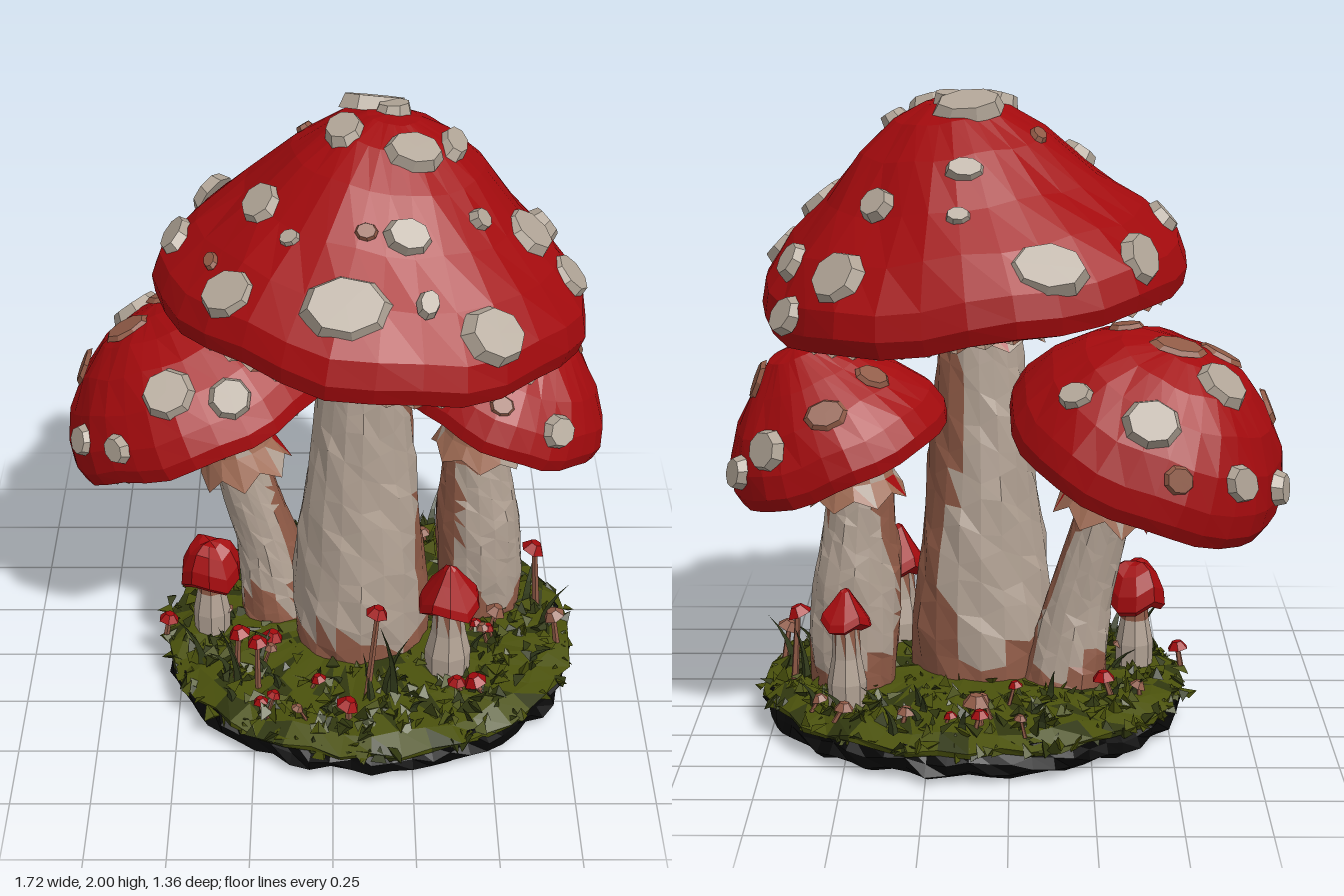
import * as THREE from 'three';
import { mergeGeometries } from 'three/addons/utils/BufferGeometryUtils.js';

const mat = (name, color) => new THREE.MeshStandardMaterial({ name, color, side: THREE.DoubleSide });
const V = (x, y, z) => new THREE.Vector3(x, y, z);
const UP = V(0, 1, 0);

function makeRandom(seed) {
  return () => {
    seed = (seed * 16807) % 2147483647;
    return seed / 2147483647;
  };
}

// Move every vertex by a rule
function warp(geo, rule) {
  const p = geo.attributes.position, v = V(0, 0, 0);
  for (let i = 0; i < p.count; i++) {
    rule(v.fromBufferAttribute(p, i), i);
    p.setXYZ(i, v.x, v.y, v.z);
  }
  return geo;
}

// Facet a geometry and sort its triangles into one group per material
function facet(geo, mats = 1, pick = () => 0) {
  const p = (geo.index ? geo.toNonIndexed() : geo).attributes.position;
  const buckets = Array.from({ length: mats }, () => []);
  const a = V(0, 0, 0), c = V(0, 0, 0);
  for (let i = 0; i < p.count; i += 3) {
    c.set(0, 0, 0);
    const tri = [];
    for (let k = 0; k < 3; k++) {
      c.add(a.fromBufferAttribute(p, i + k));
      tri.push(a.x, a.y, a.z);
    }
    buckets[pick(c.divideScalar(3))].push(...tri);
  }
  const out = new THREE.BufferGeometry();
  out.setAttribute('position', new THREE.Float32BufferAttribute(buckets.flat(), 3));
  let start = 0;
  if (mats > 1) buckets.forEach((b, i) => { out.addGroup(start, b.length / 3, i); start += b.length / 3; });
  out.computeVertexNormals();
  return out;
}

const lathe = (pts, seg) => new THREE.LatheGeometry(pts.map(([x, y]) => new THREE.Vector2(x, y)), seg);

function interp(pts, t) {
  for (let i = 1; i < pts.length; i++) {
    const [a, b] = [pts[i - 1], pts[i]];
    if (t <= b[0]) return b.map((n, k) => a[k] + (n - a[k]) * (t - a[0]) / (b[0] - a[0]));
  }
  return pts[pts.length - 1];
}

export function createModel() {
  const group = new THREE.Group();
  const rnd = makeRandom(77);
  const red = mat('capRed', 0xa30a0d), cream = mat('stemCream', 0xb0a092), spot = mat('spotGrey', 0xb0a496);
  const brown = mat('rustBrown', 0x8f5a46), tan = mat('skirtTan', 0xa06c54), gill = mat('gillBeige', 0x9b8473);
  const soil = mat('soilBlack', 0x070707), moss = mat('mossGreen', 0x4a510c), darkMoss = mat('darkMoss', 0x30370f);
  const grass = mat('grassGreen', 0x343d1c);
  const add = (name, geo, material, parent = group) => {
    const m = new THREE.Mesh(geo, material);
    m.name = name;
    parent.add(m);
    return m;
  };

  // Tilted cap with pleated gills and raised spots; spots are [x, z, sizeX, sizeZ, stain?] around the axis
  function cap(name, center, axis, R, H, shape, spots) {
    const g = new THREE.Group();
    g.name = name;
    g.position.copy(center);
    g.quaternion.setFromUnitVectors(UP, axis.normalize());
    group.add(g);
    const pts = shape.map(([r, h]) => [r * R, h * H]);
    const lip = [[0.92 * R, -0.03 - 0.03 * R], [0.975 * R, -0.03 - 0.02 * R]];
    const dome = warp(lathe([...lip, ...pts], 30), v => {
      const a = Math.atan2(v.z, v.x), r = Math.hypot(v.x, v.z) / R;
      const s = 1 + 0.012 * Math.sin(5 * a + r * 6) + 0.01 * Math.sin(9 * a - 8 * r);
      v.x *= s; v.z *= s;
      v.y += r * R * (0.018 * Math.sin(3 * a + 1) + 0.015 * Math.sin(8 * a + 9 * r));
    });
    add(name + 'Dome', facet(dome), red, g);

    const seg = 96, gp = [[0.01, 0.1 * R], [0.3 * R, 0.12 * R], [0.65 * R, 0.06 * R], [0.95 * R, -0.04 * R - 0.01]];
    const pleats = warp(lathe(gp, seg), (v, i) => {
      const a = Math.atan2(v.z, v.x), r = Math.hypot(v.x, v.z);
      v.y += r * (0.018 * Math.sin(3 * a + 1) - (Math.floor(i / gp.length) % 2 ? 0.03 : 0));
    });
    add(name + 'Gills', facet(pleats, 2, c => {
      const k = Math.floor((Math.atan2(c.z, c.x) / Math.PI + 1) * seg / 2);
      return Math.hypot(c.x, c.z) < 0.32 * R || k % 4 === 0 ? 1 : 0;
    }), [gill, brown], g);

    const up = [...pts].reverse(), lists = [[], []];
    for (const [x, z, sx, sz, stain] of spots) {
      const r = Math.min(Math.hypot(x, z), R * 0.985);
      const [, y] = interp(up, r), lo = Math.max(r - R * 0.06, 0), hi = Math.min(r + R * 0.06, R);
      const slope = (interp(up, hi)[1] - interp(up, lo)[1]) / (hi - lo);
      const a = Math.atan2(z, x), n = V(-slope * Math.cos(a), 1, -slope * Math.sin(a)).normalize();
      const geo = new THREE.CylinderGeometry(0.8, 1, 1, 8, 1);
      geo.rotateY(rnd() * 6).scale(sx * 1.14, stain ? 0.014 : 0.024 + sx * 0.2, sz * 1.14);
      warp(geo, v => { v.y += 0.15 * v.x * Math.sin(a * 7); });
      geo.applyQuaternion(new THREE.Quaternion().setFromUnitVectors(UP, n));
      geo.translate(r * Math.cos(a) + n.x * 0.007, y + n.y * 0.007, r * Math.sin(a) + n.z * 0.007);
      lists[stain ? 1 : 0].push(geo);
    }
    lists.forEach((l, i) => l.length && add(name + (i ? 'Stains' : 'Spots'), facet(mergeGeometries(l)), i ? brown : spot, g));
  }

  // Leaning stem: rings of [y, radius, x, z]; rust patches at both ends and on one side
  function stem(name, rings, side) {
    const y0 = rings[0][0], y1 = rings[rings.length - 1][0], n = 17;
    const pts = Array.from({ length: n }, (_, i) => {
      const y = y0 + (y1 - y0) * i / (n - 1);
      return [interp(rings, y)[1], y];
    });
    const geo = facet(warp(lathe(pts, 18), v => {
      const a = Math.atan2(v.z, v.x), s = 1 + 0.035 * Math.sin(3 * a + v.y * 9) + 0.02 * Math.sin(7 * a - v.y * 23);
      v.x *= s; v.z *= s;
      v.y += 0.022 * Math.sin(5 * a + v.y * 31);
    }), 2, c => {
      const a = Math.atan2(c.z, c.x), w = Math.sin(a * 3 + c.y * 8);
      return c.y < 0.23 + 0.05 * w || c.y > y1 - 0.25 + 0.04 * w || Math.cos(a - side) > 0.74 + 0.14 * w ? 1 : 0;
    });
    warp(geo, v => { const [, , x, z] = interp(rings, v.y); v.x += x; v.z += z; });
    geo.computeVertexNormals();
    add(name, geo, [cream, brown]);
  }

  // Ragged skirt under a cap
  function skirt(name, pos, axis, r, flare, h) {
    const pts = [[flare, 0], [r * 1.12, h * 0.5], [r, h]];
    const geo = warp(lathe(pts, 14), (v, i) => {
      if (i % 3 === 0 && Math.floor(i / 3) % 2) { v.y += h * 0.22; v.x *= 0.93; v.z *= 0.93; }
    });
    const m = add(name, facet(geo, 3, c => {
      const w = Math.sin(c.x * 91 + c.z * 57);
      return w > 0.8 ? 1 : w < -0.85 && c.y < h * 0.45 ? 2 : 0;
    }), [tan, cream, red]);
    m.position.copy(pos);
    m.quaternion.setFromUnitVectors(UP, axis.normalize());
  }

  const bell = [[1, 0.02], [0.97, 0.15], [0.82, 0.35], [0.63, 0.54], [0.44, 0.77], [0.27, 0.92], [0.12, 0.99], [0, 1]];
  const round = [[1, 0.02], [0.97, 0.2], [0.86, 0.46], [0.69, 0.7], [0.48, 0.87], [0.22, 0.97], [0, 1]];
  const cone = [[1, 0.02], [0.94, 0.22], [0.76, 0.48], [0.5, 0.74], [0.26, 0.95], [0, 1]];

  // Tall middle mushroom
  stem('middleStem', [[0.13, 0.22, 0.09, 0.03], [0.3, 0.225, 0.09, 0.03], [0.5, 0.205, 0.09, 0.03],
    [0.8, 0.17, 0.09, 0.03], [1.1, 0.142, 0.095, 0.03], [1.5, 0.11, 0.1, 0.03]], -0.35);
  skirt('middleSkirt', V(0.09, 1.21, 0.03), V(0.02, 1, 0), 0.135, 0.205, 0.18);
  cap('middleCap', V(0.115, 1.4, 0), V(0.11, 1, -0.055), 0.66, 0.58, bell, [
    [-0.24, -0.54, 0.11, 0.08], [-0.51, -0.36, 0.07, 0.08], [-0.03, -0.32, 0.055, 0.035], [0, -0.43, 0.035, 0.025],
    [0.24, -0.31, 0.05, 0.05], [0.37, -0.44, 0.08, 0.08], [0.52, -0.22, 0.055, 0.06], [-0.6, 0.04, 0.055, 0.08],
    [-0.05, -0.1, 0.1, 0.07], [0, -0.03, 0.05, 0.045], [-0.14, 0.08, 0.055, 0.07], [-0.36, 0.18, 0.06, 0.07],
    [0.18, 0.06, 0.04, 0.07], [0.06, 0.17, 0.08, 0.06], [-0.43, 0.41, 0.08, 0.07], [0.06, 0.37, 0.065, 0.05],
    [-0.1, 0.54, 0.12, 0.09], [0.33, 0.5, 0.09, 0.08], [0.13, 0.51, 0.03, 0.04], [-0.06, 0.37, 0.03, 0.025, 1],
    [0.43, 0.11, 0.08, 0.08], [0.57, 0.1, 0.07, 0.07], [0.57, -0.38, 0.06, 0.05], [0.27, 0.24, 0.035, 0.03],
    [-0.49, 0.28, 0.02, 0.03, 1], [-0.27, 0.34, 0.03, 0.025], [-0.25, -0.12, 0.025, 0.035, 1]]);

  // Left-hand mushroom, leaning outward
  stem('sideStemA', [[0.13, 0.14, -0.17, -0.1], [0.4, 0.105, -0.21, -0.1], [0.65, 0.09, -0.28, -0.11], [0.98, 0.09, -0.36, -0.13]], 0.1);
  skirt('sideSkirtA', V(-0.28, 0.67, -0.11), V(-0.25, 1, -0.08), 0.105, 0.155, 0.22);
  cap('sideCapA', V(-0.41, 0.89, -0.14), V(-0.38, 0.9, -0.2), 0.45, 0.385, round, [
    [0, 0.37, 0.075, 0.075], [0.17, 0.38, 0.06, 0.06], [-0.22, 0.37, 0.04, 0.045], [-0.34, 0.24, 0.045, 0.05],
    [-0.1, -0.12, 0.08, 0.075], [-0.24, -0.31, 0.06, 0.05], [0.08, -0.32, 0.08, 0.07], [-0.4, -0.12, 0.05, 0.05],
    [0.05, -0.02, 0.08, 0.05, 1], [-0.1, 0.09, 0.07, 0.05, 1], [-0.29, 0.04, 0.05, 0.08, 1], [0.2, 0.1, 0.05, 0.04, 1],
    [-0.05, -0.4, 0.045, 0.04, 1], [0.3, -0.22, 0.05, 0.04]]);

  // Right-hand mushroom
  stem('sideStemB', [[0.13, 0.13, 0.49, -0.13], [0.3, 0.142, 0.49, -0.13], [0.5, 0.138, 0.48, -0.13],
    [0.65, 0.115, 0.47, -0.13], [0.8, 0.1, 0.46, -0.13], [1.0, 0.09, 0.47, -0.13]], 3);
  skirt('sideSkirtB', V(0.47, 0.74, -0.13), V(0.12, 1, 0), 0.11, 0.155, 0.15);
  cap('sideCapB', V(0.53, 0.92, -0.14), V(0.36, 0.92, -0.1), 0.352, 0.345, cone, [
    [0.14, 0.29, 0.045, 0.05], [-0.06, 0.3, 0.035, 0.03, 1], [-0.1, 0.12, 0.06, 0.05, 1], [0.14, -0.02, 0.06, 0.055, 1],
    [0.16, -0.24, 0.06, 0.06], [0.28, -0.17, 0.05, 0.045], [-0.05, -0.25, 0.06, 0.045, 1], [-0.2, -0.12, 0.05, 0.04, 1]]);

  // Soil disc and moss cover
  const ragged = v => {
    const a = Math.atan2(v.z, v.x), s = 1 + 0.014 * Math.sin(13 * a + v.y * 40) + 0.014 * Math.sin(23 * a + v.y * 60);
    v.x *= s; v.z *= s * 0.97;
  };
  const ground = [[0, 0.01], [0.35, 0.01], [0.62, 0.012], [0.66, 0.035], [0.66, 0.07], [0.64, 0.11], [0, 0.11]];
  add('soil', facet(warp(lathe(ground, 64), v => {
    v.y += 0.014 * Math.hypot(v.x, v.z) * Math.sin(19 * Math.atan2(v.z, v.x));
    ragged(v);
  })), soil).position.x = 0.12;
  const cover = warp(lathe([[0.66, 0.09], [0.67, 0.11], [0.6, 0.14], [0.45, 0.15], [0.28, 0.16], [0, 0.165]], 44), v => {
    const a = Math.atan2(v.z, v.x), r = Math.hypot(v.x, v.z);
    ragged(v);
    v.y += r * (0.014 * Math.sin(11 * a + 20 * r) + 0.01 * Math.sin(17 * a));
  });
  add('mossCover', facet(cover, 2, c => (Math.sin(c.x * 37) + Math.sin(c.z * 41 + c.x * 9) > 0.9 ? 1 : 0)), [moss, darkMoss]).position.x = 0.12;

  // Moss flakes, denser toward the edge
  const flakes = [[], []];
  for (let i = 0; i < 700; i++) {
    const a = rnd() * Math.PI * 2, r = 0.685 * Math.pow(rnd(), 0.38);
    const f = new THREE.ConeGeometry(0.022 + 0.022 * rnd(), 0.03 + 0.03 * rnd(), 3);
    f.scale(1, 1, 0.4).rotateX((rnd() - 0.5) * 2.8).rotateY(rnd() * 6);
    f.translate(0.12 + r * Math.cos(a), (r > 0.62 ? 0.1 : 0.145) + 0.025 * rnd(), 0.95 * r * Math.sin(a));
    flakes[i % 3 === 0 ? 1 : 0].push(f);
  }
  flakes.forEach((l, i) => add('mossFlakes', facet(mergeGeometries(l)), i ? darkMoss : moss));

  // Grass blades bending outward
  const blades = [];
  const blade = (x, z, h, dir, bend) => {
    const b = new THREE.ConeGeometry(0.018, h, 3, 4).translate(0, h / 2, 0);
    warp(b, v => { v.x += bend * (v.y / h) ** 2; });
    blades.push(b.rotateY(dir).translate(x, 0.14, z));
  };
  [[0.2, 0.4, 0.3, 0.5, -0.06], [0.17, 0.38, 0.22, 0, 0.07], [0.12, 0.43, 0.16, 2, 0.06], [0.65, -0.1, 0.18, 1, 0.05],
    [0.7, 0.02, 0.17, 0, 0.08], [-0.3, 0.33, 0.2, 2.6, 0.08], [-0.42, 0.22, 0.17, 3, 0.09], [-0.34, 0.28, 0.14, 4, 0.09],
    [-0.24, 0.3, 0.16, 1, 0.08]].forEach(b => blade(...b));
  for (let i = 0; i < 30; i++) {
    const a = rnd() * Math.PI * 2, r = 0.32 + 0.3 * rnd();
    blade(0.12 + r * Math.cos(a), r * Math.sin(a), 0.05 + 0.07 * rnd(), -a + rnd() - 0.5, 0.05 + 0.06 * rnd());
  }
  add('grassBlades', facet(mergeGeometries(blades)), grass);

  // Young mushrooms: [x, z, cap bottom, cap height, cap radius, stem radius]
  const young = [[-0.4, 0.03, 0.34, 0.15, 0.1, 0.045], [0.37, 0.25, 0.38, 0.17, 0.1, 0.055], [0.5, -0.34, 0.39, 0.13, 0.08, 0.045]];
  young.forEach(([x, z, y, h, r, s], i) => {
    const g = new THREE.Group();
    g.name = 'youngMushroom';
    g.position.set(x, 0, z);
    const top = i ? [[0.62, 0], [1, 0.14], [0.92, 0.32], [0.5, 0.66], [0.2, 0.92], [0, 1]]
      : [[0.85, 0], [1, 0.12], [0.95, 0.45], [0.7, 0.82], [0.35, 0.98], [0, 1]];
    const head = warp(lathe([[0.01, y + 0.03], ...top.map(([a, b]) => [a * r, y + b * h])], 10), v => {
      v.y += 0.22 * Math.hypot(v.x, v.z) * Math.sin(3 * Math.atan2(v.z, v.x) + 2);
    });
    add('youngCap', facet(head), red, g);
    add('youngStem', facet(lathe([[s * 1.3, 0.13], [s * 1.35, 0.22], [s, 0.3], [s * 0.85, y + 0.05]], 8), 2, c => (c.y > y - 0.03 ? 1 : 0)), [cream, brown], g);
    group.add(g);
  });

  // Tiny sprouts scattered over the moss, some with rust caps
  const caps = [[], []], stalks = [];
  const sprout = (x, z, top, r, rust = 0) => {
    const lean = (rnd() - 0.5) * 0.07, h = top - 0.13;
    stalks.push(warp(new THREE.CylinderGeometry(r * 0.22, r * 0.3, h, 5).translate(0, h / 2, 0), v => { v.x += lean * v.y / h; }).translate(x - lean, 0.13, z));
    caps[rust].push(new THREE.CylinderGeometry(r * 0.45, r, r * 0.7, 6).rotateZ((rnd() - 0.5) * 0.9).translate(x, top, z));
  };
  [[0.14, 0.41, 0.49, 0.038], [0.67, -0.11, 0.37, 0.042], [-0.3, 0.3, 0.33, 0.038], [-0.24, 0.35, 0.33, 0.035], [0.72, 0.1, 0.25, 0.038, 1],
    [-0.54, 0.05, 0.2, 0.035], [0.05, 0.5, 0.2, 0.04], [0.45, 0.38, 0.2, 0.04], [0.1, -0.5, 0.22, 0.045, 1]].forEach(s => sprout(...s));
  for (let i = 0; i < 26; i++) {
    const a = rnd() * Math.PI * 2, r = 0.34 + 0.26 * rnd();
    sprout(0.12 + r * Math.cos(a), r * Math.sin(a), 0.17 + 0.06 * rnd(), 0.02 + 0.018 * rnd(), i % 2);
  }
  caps.forEach((l, i) => add('sproutCaps', facet(mergeGeometries(l)), i ? brown : red));
  add('sproutStalks', facet(mergeGeometries(stalks)), brown);

  return group;
}
